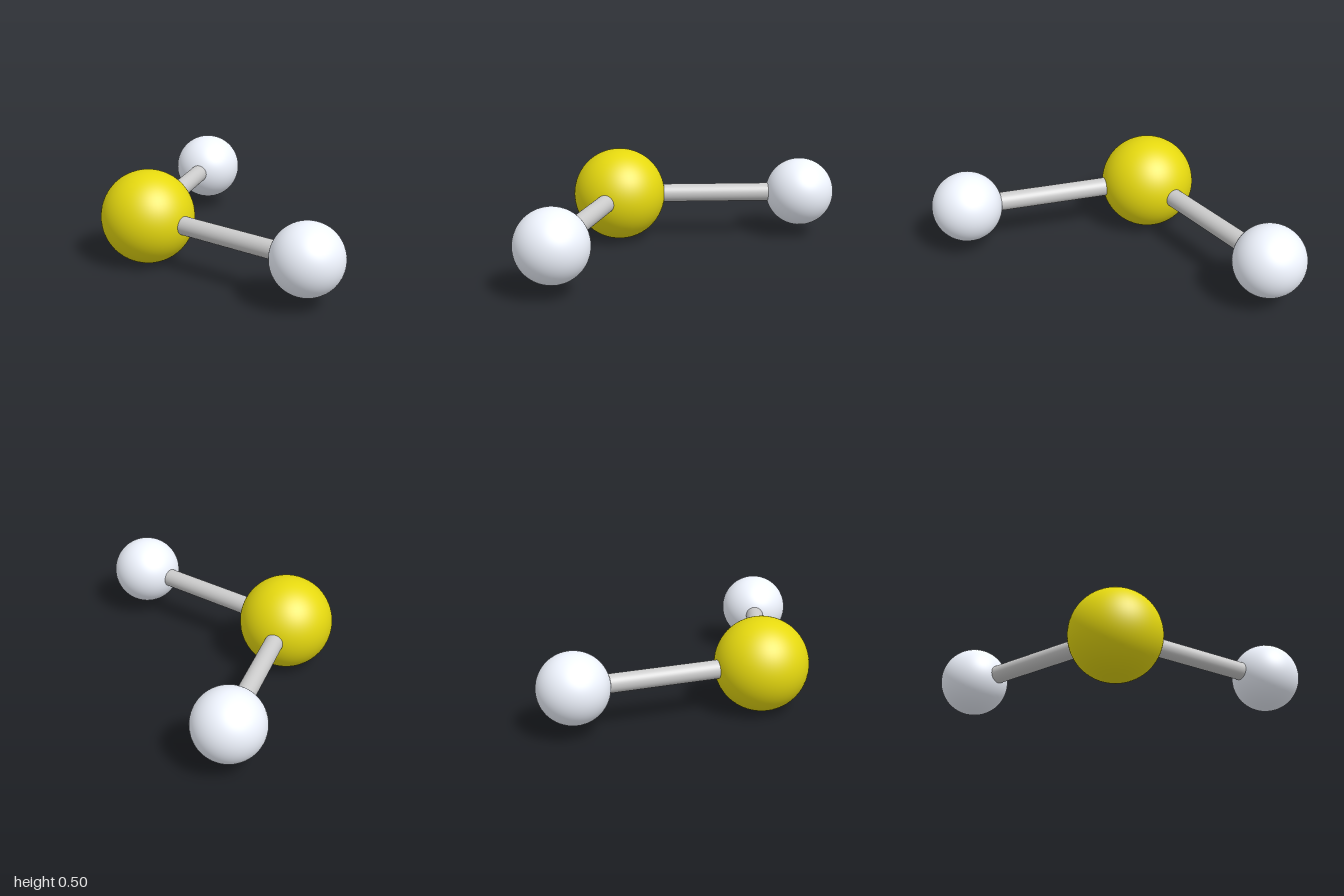
import * as THREE from 'three';

const CENTRE = new THREE.Vector3(-0.257, 0.248, 0);
const CENTRE_RADIUS = 0.248;
const OUTER_RADIUS = 0.185;
const BOND_RADIUS = 0.049;

export function createModel() {
  const model = new THREE.Group();
  model.name = 'bentMolecule';

  const yellow = new THREE.MeshStandardMaterial({ color: 0xe6d90f });
  const white = new THREE.MeshStandardMaterial({ color: 0xf0f5ff });
  const grey = new THREE.MeshStandardMaterial({ color: 0xcccccc });

  const addBall = (name, radius, position, material) => {
    const ball = new THREE.Mesh(new THREE.SphereGeometry(radius, 64, 40), material);
    ball.name = name;
    ball.position.copy(position);
    model.add(ball);
  };

  // Rod running between the centres of two balls
  const addBond = (name, from, to) => {
    const direction = to.clone().sub(from);
    const geometry = new THREE.CylinderGeometry(BOND_RADIUS, BOND_RADIUS, direction.length(), 40);
    const bond = new THREE.Mesh(geometry, grey);
    bond.name = name;
    bond.position.copy(from).add(to).multiplyScalar(0.5);
    bond.quaternion.setFromUnitVectors(new THREE.Vector3(0, 1, 0), direction.normalize());
    model.add(bond);
  };

  addBall('centralAtom', CENTRE_RADIUS, CENTRE, yellow);

  // Mirrored outer atoms with their bonds
  for (const [label, side] of [['front', 1], ['back', -1]]) {
    const outer = new THREE.Vector3(0.317, CENTRE.y, side * 0.815);
    addBall(label + 'Atom', OUTER_RADIUS, outer, white);
    addBond(label + 'Bond', CENTRE, outer);
  }

  return model;
}
